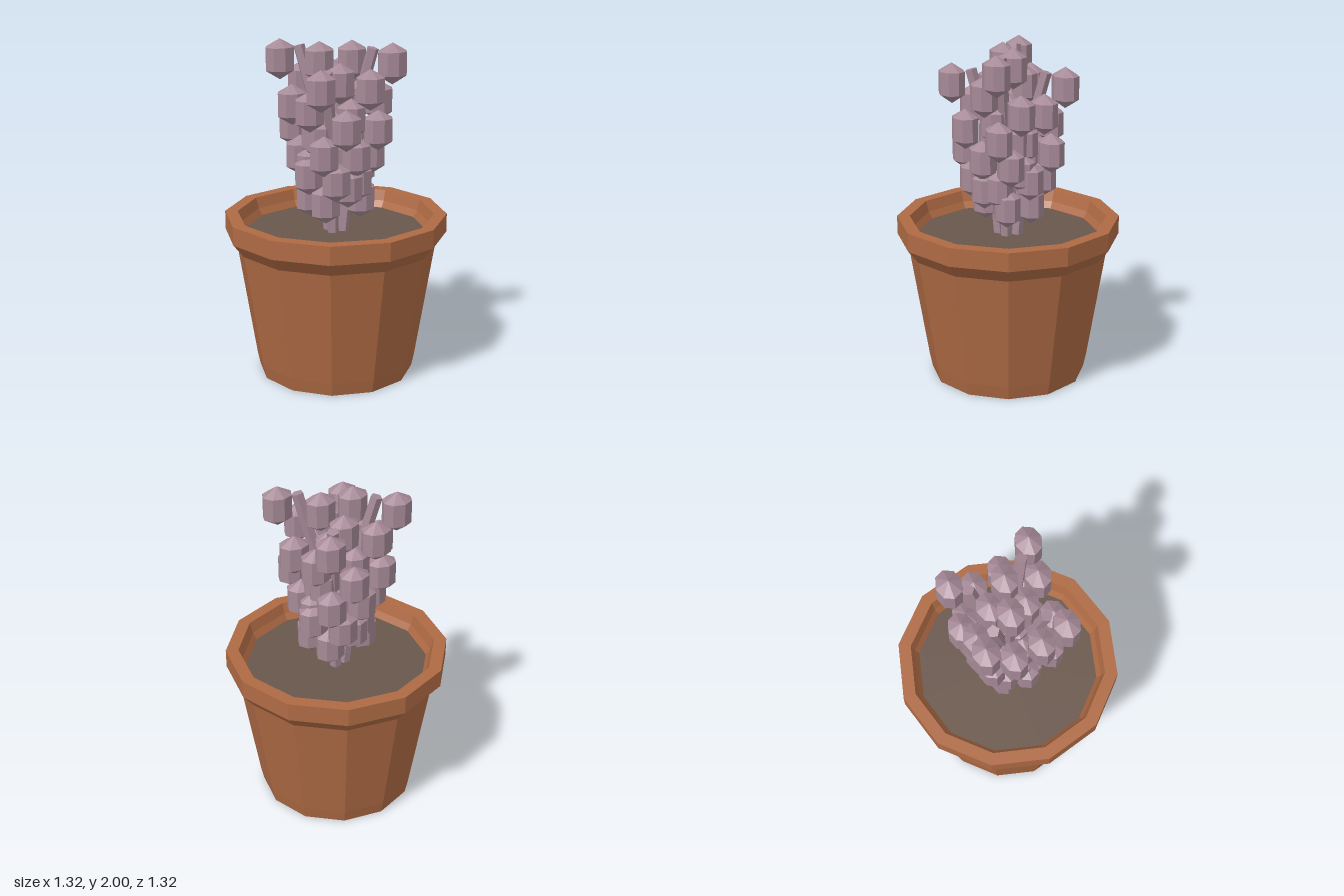
import * as THREE from 'three';

const terracotta = new THREE.MeshStandardMaterial({ color: 0xae6a44 });
const soilBrown = new THREE.MeshStandardMaterial({ color: 0x69574c });
const mauve = new THREE.MeshStandardMaterial({ color: 0xa68a97 });

// Faceted copy: every triangle gets its own normal
function faceted(geometry) {
  const g = geometry.toNonIndexed();
  g.computeVertexNormals();
  return g;
}

function lathe(points, sides) {
  return new THREE.LatheGeometry(points.map(([r, y]) => new THREE.Vector2(r, y)), sides);
}

function addMesh(parent, name, geometry, material) {
  const mesh = new THREE.Mesh(geometry, material);
  mesh.name = name;
  parent.add(mesh);
  return mesh;
}

// Closed five-sided rod between two points
function addRod(parent, a, b, radius) {
  const dir = b.clone().sub(a);
  const rod = addMesh(parent, 'stem', faceted(new THREE.CylinderGeometry(radius, radius, dir.length(), 5)), mauve);
  rod.position.copy(a).add(b).multiplyScalar(0.5);
  rod.quaternion.setFromUnitVectors(new THREE.Vector3(0, 1, 0), dir.normalize());
}

// Bulb centres along one branch: x, y, z
const BULBS = [
  [0.25, 1.88, 0.22], [0.095, 1.88, 0.02], [0.11, 1.74, 0.22], [0.25, 1.64, 0.06],
  [0.03, 1.62, 0.03], [0.04, 1.56, 0.12], [0.19, 1.49, 0.17], [0.12, 1.45, 0.02],
  [0.035, 1.35, 0.19], [0.185, 1.33, 0.09], [0.16, 1.28, 0.0], [0.09, 1.18, 0.11],
  [0.125, 1.07, 0.08],
];
const STEM = [[0.03, 0.85, 0.03], [0.08, 1.55, 0.07], [0.165, 1.965, 0.145]];

export function createModel() {
  const model = new THREE.Group();
  model.name = 'pottedPlant';

  // Twelve-sided pot with a flared rim and inner wall
  addMesh(model, 'pot', faceted(lathe([
    [0, 0], [0.465, 0], [0.482, 0.08], [0.595, 0.785], [0.66, 0.865],
    [0.66, 0.975], [0.585, 0.975], [0.565, 0.91], [0.535, 0.86],
  ], 12)), terracotta);

  const soil = addMesh(model, 'soil', new THREE.CircleGeometry(0.54, 12), soilBrown);
  soil.rotation.x = -Math.PI / 2;
  soil.position.y = 0.87;

  // Eight-sided bulb with pointed ends, narrower from front to back
  const bulb = faceted(lathe([[0, -0.12], [0.09, -0.065], [0.09, 0.07], [0, 0.12]], 8).scale(1, 1, 0.83));

  // Four branches, a quarter turn apart, every other one sitting lower
  const plant = new THREE.Group();
  plant.name = 'plant';
  model.add(plant);
  const up = new THREE.Vector3(0, 1, 0);
  for (let i = 0; i < 4; i++) {
    const branch = new THREE.Group();
    branch.name = 'branch';
    plant.add(branch);
    const place = ([x, y, z]) =>
      new THREE.Vector3(x, y - (i % 2) * 0.115, z).applyAxisAngle(up, i * Math.PI / 2);
    const joints = STEM.map(place);
    addRod(branch, joints[0], joints[1], 0.035);
    addRod(branch, joints[1], joints[2], 0.035);
    // Bulbs stay clear of the soil
    for (const p of BULBS.map(place).filter((v) => v.y > 1)) {
      addMesh(branch, 'bulb', bulb, mauve).position.copy(p);
    }
  }
  return model;
}
